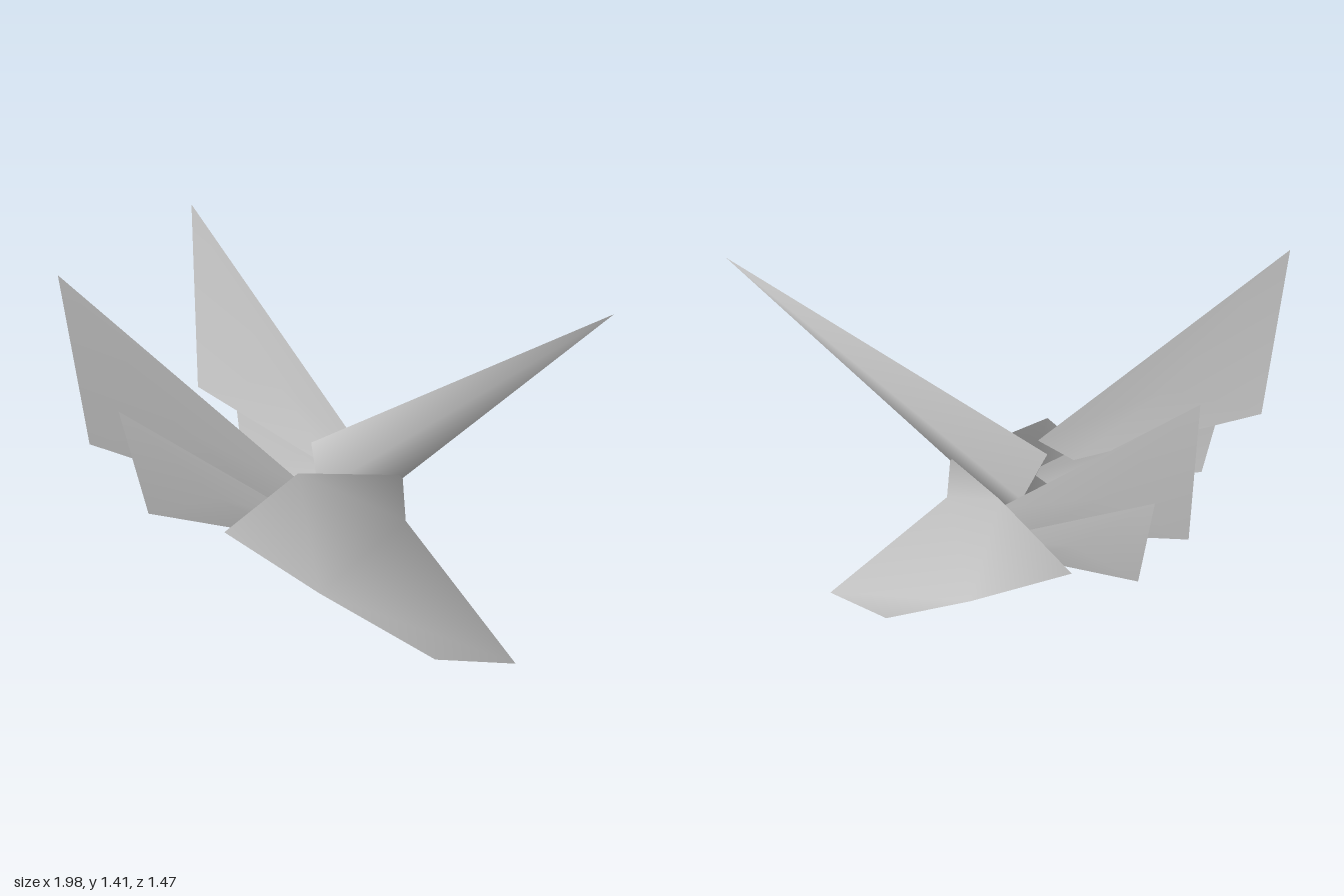
import * as THREE from 'three';

const grey = new THREE.MeshStandardMaterial({ color: 0xcccccc, side: THREE.DoubleSide });
grey.name = 'light grey';

// Smooth shaded mesh from a few corners [forward, up, side] and triangles
function sheet(name, points, faces) {
  const g = new THREE.BufferGeometry();
  g.setAttribute('position', new THREE.Float32BufferAttribute(points.flat(), 3));
  g.setIndex(faces.flat());
  g.computeVertexNormals();
  const mesh = new THREE.Mesh(g, grey);
  mesh.name = name;
  return mesh;
}

// Four-cornered ear with a slight outward swell at its middle; side is 1 or -1
function ear(name, corners, side) {
  const mid = [0, 1, 2].map((k) => corners.reduce((sum, c) => sum + c[k] / 4, 0));
  mid[2] += 0.015;
  const points = [...corners, mid].map(([f, y, s]) => [f, y, s * side]);
  const faces = [];
  for (let i = 0; i < 4; i++) {
    const j = (i + 1) % 4;
    faces.push(side > 0 ? [i, j, 4] : [j, i, 4]);
  }
  return sheet(name, points, faces);
}

export function createModel() {
  const model = new THREE.Group();
  const head = new THREE.Group();
  head.name = 'head';

  // Open face shell: three ridge points, then four rim points for each side
  const ridge = [[0.367, 0.655, 0], [0.38, 0.485, 0], [0.822, 0, 0]];
  const rim = [[0.089, 0.70, 0.295], [-0.192, 0.455, 0.328], [0.19, 0.27, 0.329], [0.567, 0.02, 0.142]];
  const half = [[3, 4, 5], [3, 5, 1], [3, 1, 0], [5, 6, 2], [5, 2, 1]];
  const mirrored = half.map((t) => t.map((i) => (i > 2 ? i + 4 : i)).reverse());
  head.add(sheet('face',
    [...ridge, ...rim, ...rim.map(([f, y, s]) => [f, y, -s])],
    [...half, ...mirrored]));

  // Ears: a large upper and a small lower one on each side
  const upper = [[-0.75, 1.41, 0.56], [-0.673, 0.76, 0.454], [-0.02, 0.56, 0.262], [0.11, 0.63, 0.245]];
  const lower = [[-0.55, 0.90, 0.468], [-0.464, 0.51, 0.396], [0.057, 0.44, 0.246], [0.138, 0.496, 0.24]];
  for (const [label, side] of [['right', 1], ['left', -1]]) {
    head.add(ear(label + 'UpperEar', upper, side));
    head.add(ear(label + 'LowerEar', lower, side));
  }

  // Horn: four-sided spike with a flat base
  const base = [[0, 0.735, 0], [0.071, 0.58, 0.086], [0.16, 0.47, 0], [0.071, 0.58, -0.086]];
  const tip = [1.218, 1.355, 0];
  head.add(sheet('horn', [...base, tip], [[1, 0, 4], [2, 1, 4], [3, 2, 4], [0, 3, 4]]));
  head.add(sheet('hornBase', base, [[0, 1, 3], [1, 2, 3]]));

  // Turn the symmetric head to its facing direction
  head.rotation.y = -Math.PI / 6;
  head.position.set(-0.07, 0, 0.12);
  model.add(head);
  return model;
}
